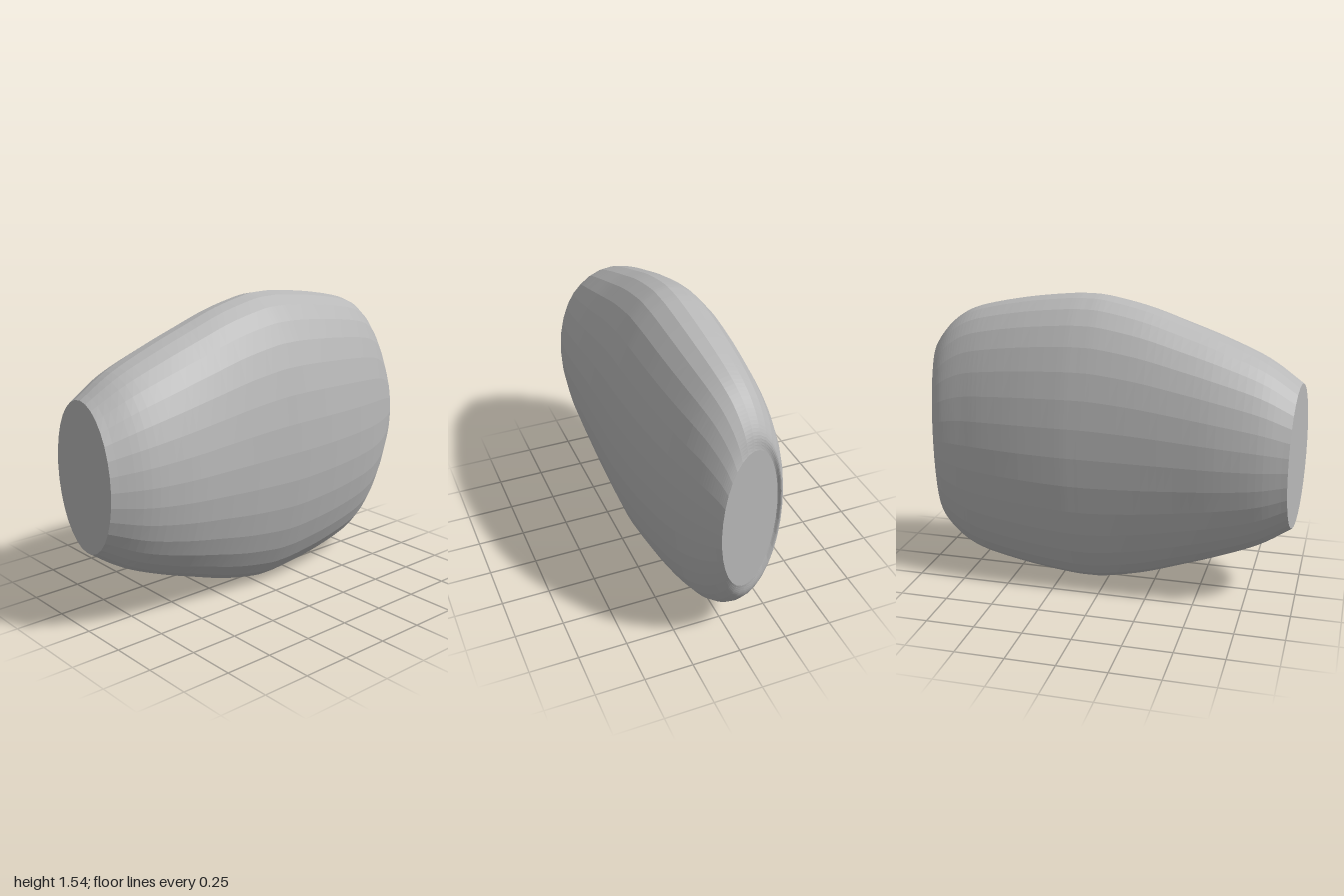
import * as THREE from 'three';

const SIDES = 32, RINGS = 70, MID_Y = 0.77;

// Cross-sections: [back edge x, z, front edge x, z, half height]
const SECTIONS = [
  [-0.95, -0.29, -1.0, 0.24, 0.375],
  [-0.8, -0.325, -0.82, 0.308, 0.485],
  [-0.6, -0.343, -0.61, 0.339, 0.575],
  [-0.4, -0.345, -0.4, 0.343, 0.65],
  [-0.2, -0.345, -0.2, 0.343, 0.718],
  [0.0, -0.345, 0.0, 0.343, 0.763],
  [0.1, -0.345, 0.1, 0.343, 0.77],
  [0.2, -0.343, 0.2, 0.338, 0.766],
  [0.4, -0.328, 0.4, 0.32, 0.742],
  [0.6, -0.302, 0.61, 0.285, 0.703],
  [0.72, -0.28, 0.74, 0.25, 0.665],
  [0.8, -0.265, 0.84, 0.21, 0.608],
  [0.86, -0.25, 0.91, 0.175, 0.538],
  [0.9, -0.228, 0.96, 0.145, 0.465],
  [0.888, -0.21, 1.0, 0.122, 0.39],
];

function makeGeometry(positions, index) {
  const geometry = new THREE.BufferGeometry();
  geometry.setAttribute('position', new THREE.Float32BufferAttribute(positions, 3));
  geometry.setIndex(index);
  const flat = geometry.toNonIndexed();
  flat.computeVertexNormals();
  return flat;
}

export function createModel() {
  const group = new THREE.Group();
  group.name = 'taperedShell';
  const grey = new THREE.MeshStandardMaterial({ color: 0xb8b8b8 });
  grey.name = 'grey';

  // Smooth rails along the back and front edges; y carries the half height
  const rail = (i) => new THREE.CatmullRomCurve3(
    SECTIONS.map((s) => new THREE.Vector3(s[i], s[4], s[i + 1])), false, 'catmullrom', 0.5);
  const backRail = rail(0), frontRail = rail(2);

  // Elliptical ring spanning the two rails
  const ring = (t) => {
    const a = backRail.getPoint(t), b = frontRail.getPoint(t), points = [];
    for (let i = 0; i < SIDES; i++) {
      const angle = (i / SIDES) * Math.PI * 2;
      const p = a.clone().lerp(b, 0.5 + 0.5 * Math.sin(angle));
      points.push(p.x, MID_Y + a.y * Math.cos(angle), p.z);
    }
    return points;
  };

  // Lofted body
  const positions = [], index = [];
  for (let r = 0; r <= RINGS; r++) positions.push(...ring(r / RINGS));
  for (let r = 0; r < RINGS; r++) {
    for (let i = 0; i < SIDES; i++) {
      const a = r * SIDES + i, b = r * SIDES + (i + 1) % SIDES;
      index.push(a, b, a + SIDES, b, b + SIDES, a + SIDES);
    }
  }
  const body = new THREE.Mesh(makeGeometry(positions, index), grey);
  body.name = 'body';
  group.add(body);

  // Flat slanted end caps
  const addCap = (name, t, facesRight) => {
    const fan = [];
    for (let i = 1; i < SIDES - 1; i++) fan.push(0, ...(facesRight ? [i, i + 1] : [i + 1, i]));
    const cap = new THREE.Mesh(makeGeometry(ring(t), fan), grey);
    cap.name = name;
    group.add(cap);
  };
  addCap('wideEndCap', 1, true);
  addCap('narrowEndCap', 0, false);

  return group;
}
